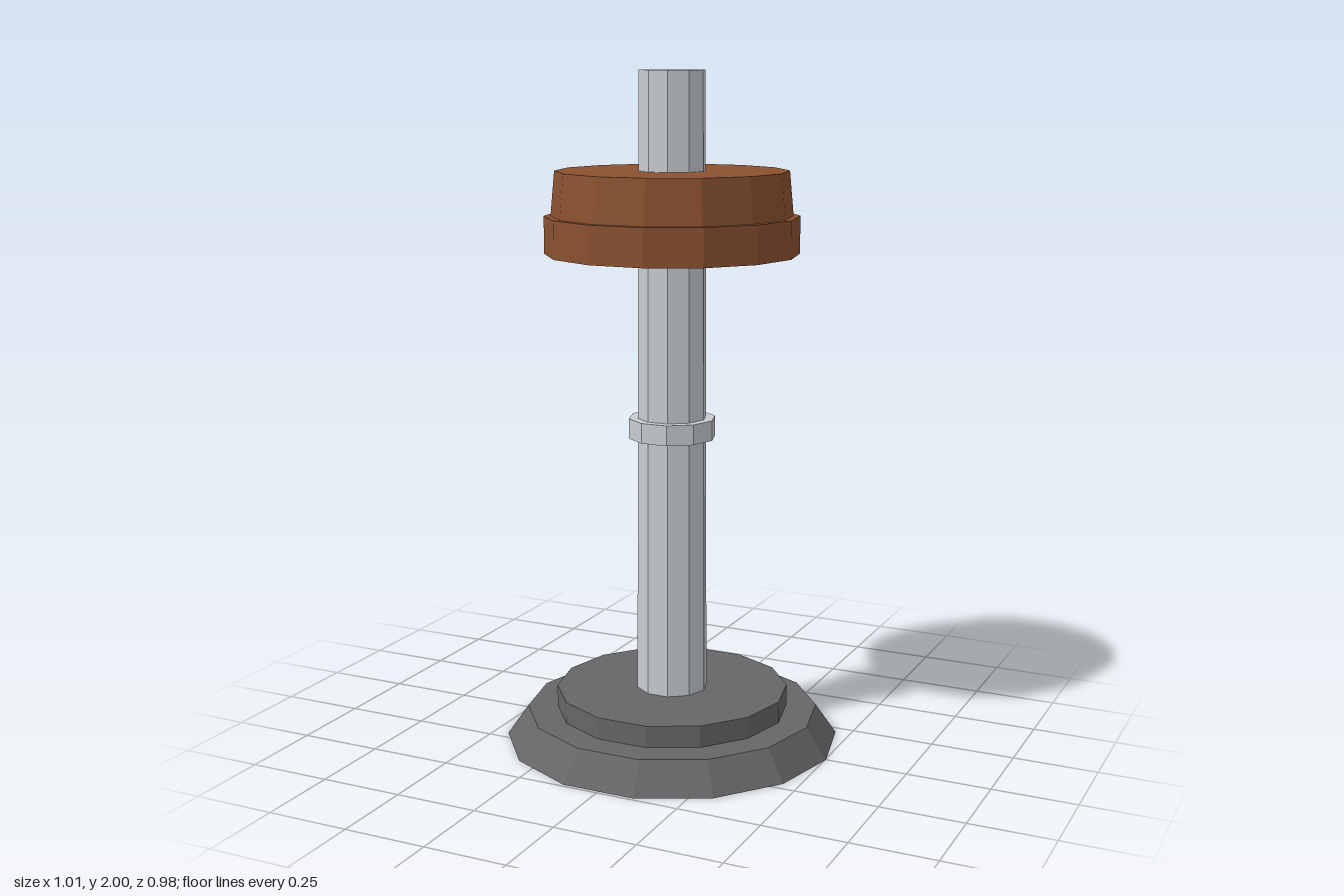
import * as THREE from 'three';

const material = (name, color) => {
  const m = new THREE.MeshStandardMaterial({ color, flatShading: true });
  m.name = name;
  return m;
};

export function createModel() {
  const model = new THREE.Group();
  model.name = 'postWithRing';

  const darkGrey = material('dark grey', 0x666668);
  const lightGrey = material('light grey', 0xc8ccd0);
  const brown = material('brown', 0x8a5130);

  // One faceted tier between two heights, with a corner on +x
  const tier = (name, mat, sides, y0, y1, r0, r1 = r0) => {
    const geometry = new THREE.CylinderGeometry(r1, r0, y1 - y0, sides);
    geometry.rotateY(Math.PI / 2);
    const mesh = new THREE.Mesh(geometry, mat);
    mesh.name = name;
    mesh.position.y = (y0 + y1) / 2;
    model.add(mesh);
  };

  // Stepped foot
  tier('baseLower', darkGrey, 14, 0, 0.09, 0.503, 0.44);
  tier('baseUpper', darkGrey, 14, 0.09, 0.155, 0.35);

  // Tapering pole with a narrow collar
  tier('pole', lightGrey, 10, 0.155, 2, 0.107, 0.097);
  tier('collar', lightGrey, 10, 0.93, 0.99, 0.13);

  // Two-step disc near the top
  tier('discLower', brown, 14, 1.475, 1.585, 0.372);
  tier('discUpper', brown, 14, 1.585, 1.715, 0.352, 0.34);

  return model;
}
